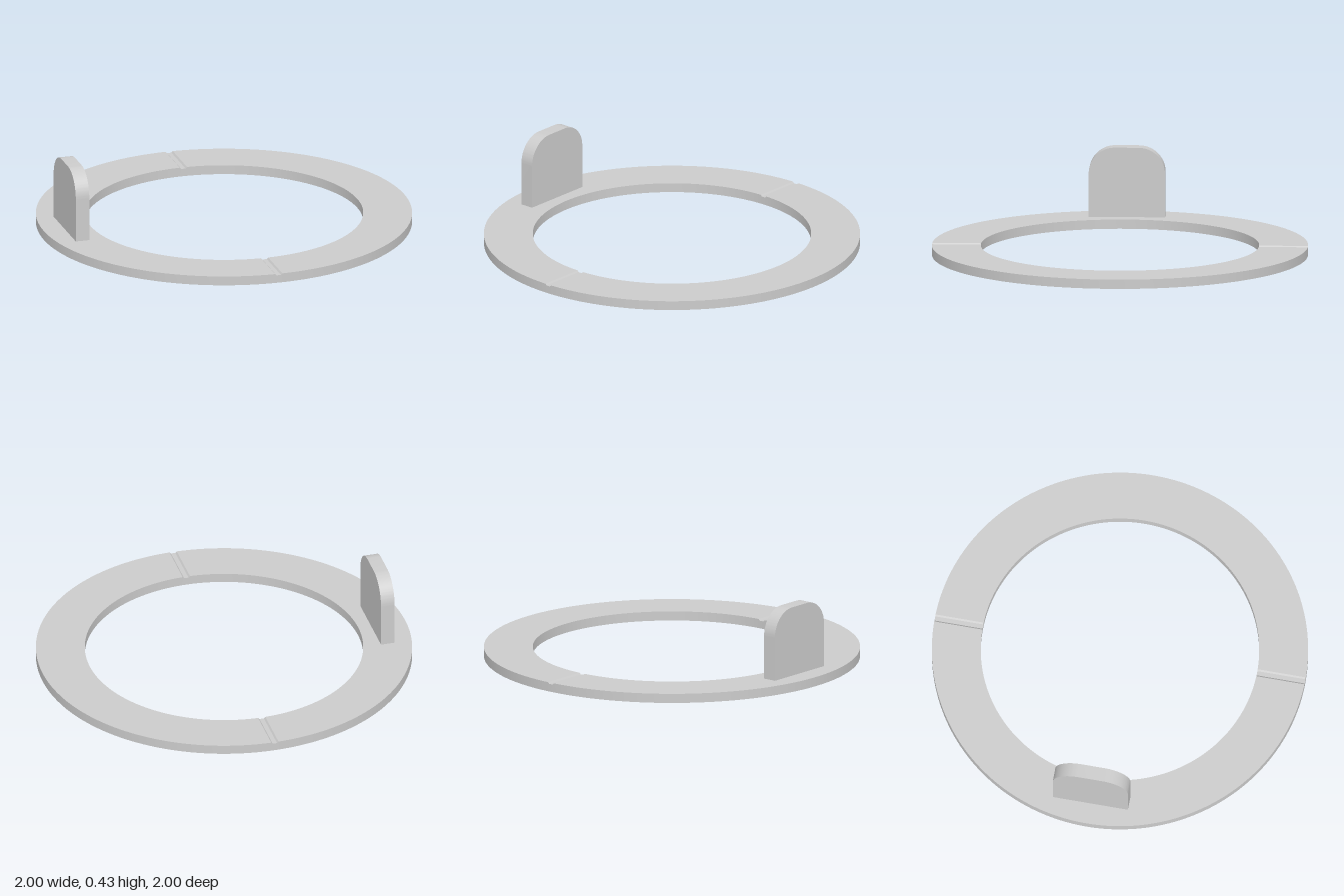
import * as THREE from 'three';
import { toCreasedNormals } from 'three/addons/utils/BufferGeometryUtils.js';

const OUTER = 1, INNER = 0.74, THICK = 0.05;
const GROOVE = { top: 0.02, floor: 0.012, depth: 0.008 };

export function createModel() {
  const model = new THREE.Group();
  const material = new THREE.MeshStandardMaterial({ color: 0xcccccc });
  const add = (geometry, name, crease = 0.5) => {
    const mesh = new THREE.Mesh(toCreasedNormals(geometry, crease), material);
    mesh.name = name;
    model.add(mesh);
    return mesh;
  };

  // Two flat half rings that stop at the edges of the grooves
  const aOut = Math.acos(GROOVE.top / OUTER), aIn = Math.acos(GROOVE.top / INNER);
  for (const [side, turn] of [['left', 0], ['right', Math.PI]]) {
    const half = new THREE.Shape();
    half.absarc(0, 0, OUTER, turn - aOut, turn + aOut, false);
    half.absarc(0, 0, INNER, turn + aIn, turn - aIn, true);
    half.closePath();
    const geometry = new THREE.ExtrudeGeometry(half, { depth: THICK, bevelEnabled: false, curveSegments: 80 });
    geometry.rotateX(-Math.PI / 2);
    add(geometry, side + 'HalfRing');
  }

  // Shallow grooves across the ring at front and back, following its rims
  const xs = [-GROOVE.top, -GROOVE.floor, GROOVE.floor, GROOVE.top];
  for (const [end, turn] of [['front', 0], ['back', Math.PI]]) {
    const geometry = new THREE.BoxGeometry(3, 1, 1, 3, 1, 1);
    const p = geometry.attributes.position;
    for (let i = 0; i < p.count; i++) {
      const column = Math.round(p.getX(i) + 1.5);
      const x = xs[column];
      const dip = column === 1 || column === 2 ? GROOVE.depth : 0;
      const y = p.getY(i) > 0 ? THICK - dip : 0;
      const r = p.getZ(i) > 0 ? OUTER : INNER;
      p.setXYZ(i, x, y, Math.sqrt(r * r - x * x));
    }
    geometry.rotateY(turn);
    add(geometry, end + 'Groove');
  }

  // Upright tab with rounded top corners
  const w = 0.203, h = 0.425, r = 0.14, base = 0.03;
  const outline = new THREE.Shape();
  outline.moveTo(-w, base);
  outline.lineTo(w, base);
  outline.lineTo(w, h - r);
  outline.absarc(w - r, h - r, r, 0, Math.PI / 2, false);
  outline.absarc(-w + r, h - r, r, Math.PI / 2, Math.PI, false);
  outline.closePath();
  const tab = new THREE.ExtrudeGeometry(outline, { depth: 0.075, bevelEnabled: false, curveSegments: 16 });
  tab.rotateY(Math.PI / 2);
  add(tab, 'uprightTab').position.x = -0.885;

  return model;
}
